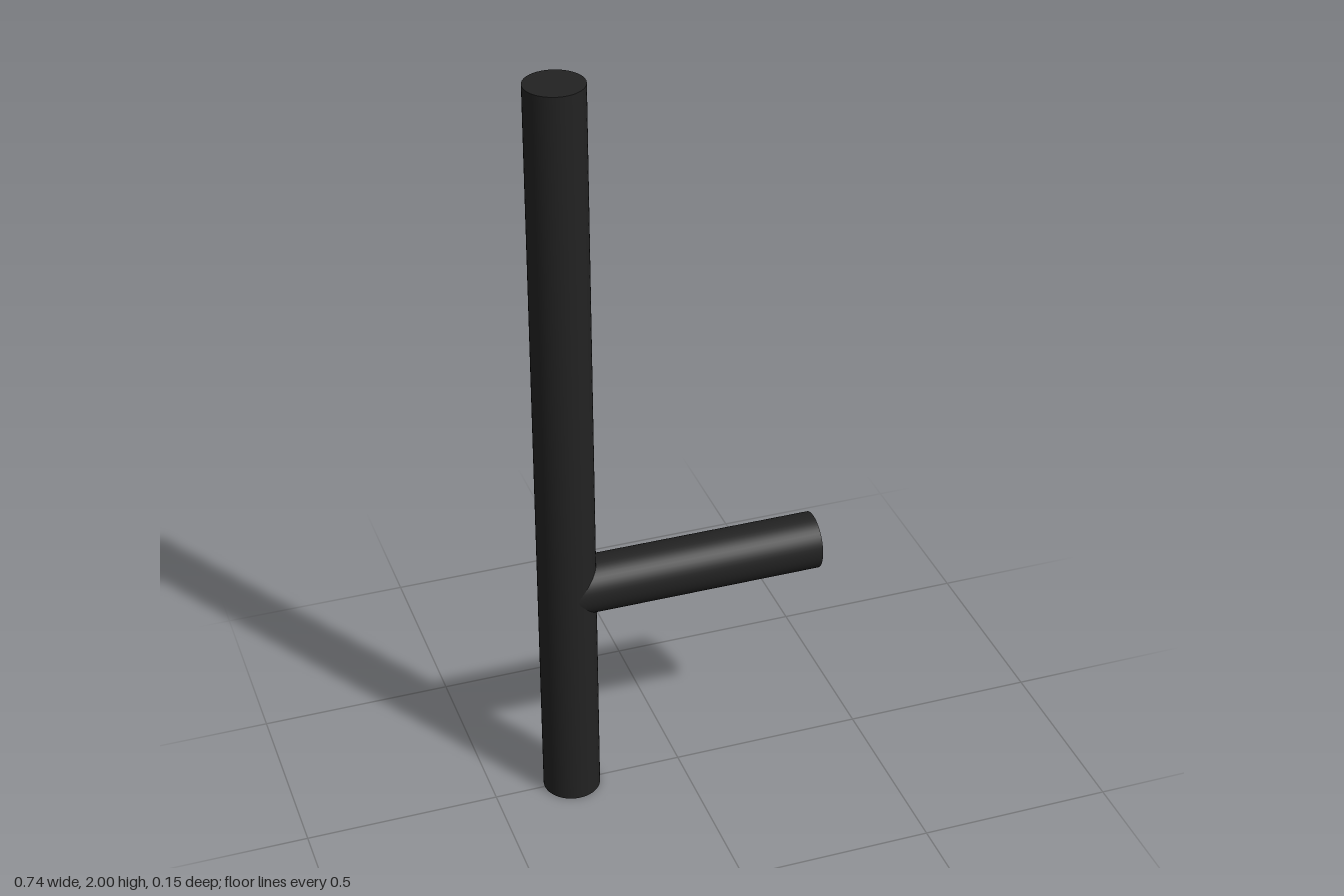
import * as THREE from 'three';

const RADIUS = 0.074;
const SHAFT_X = -0.294;

export function createModel() {
  const group = new THREE.Group();
  const material = new THREE.MeshStandardMaterial({ color: 0x222222 });

  const addRod = (name, radius, length) => {
    const rod = new THREE.Mesh(new THREE.CylinderGeometry(radius, radius, length, 48), material);
    rod.name = name;
    group.add(rod);
    return rod;
  };

  // Long upright shaft
  addRod('shaft', RADIUS, 2).position.set(SHAFT_X, 1, 0);

  // Side handle, starting on the shaft's axis and pointing to +x
  const handleEnd = 0.367;
  const handle = addRod('sideHandle', RADIUS - 0.0005, handleEnd - SHAFT_X);
  handle.rotation.z = -Math.PI / 2;
  handle.position.set((SHAFT_X + handleEnd) / 2, 0.617, 0);

  return group;
}
